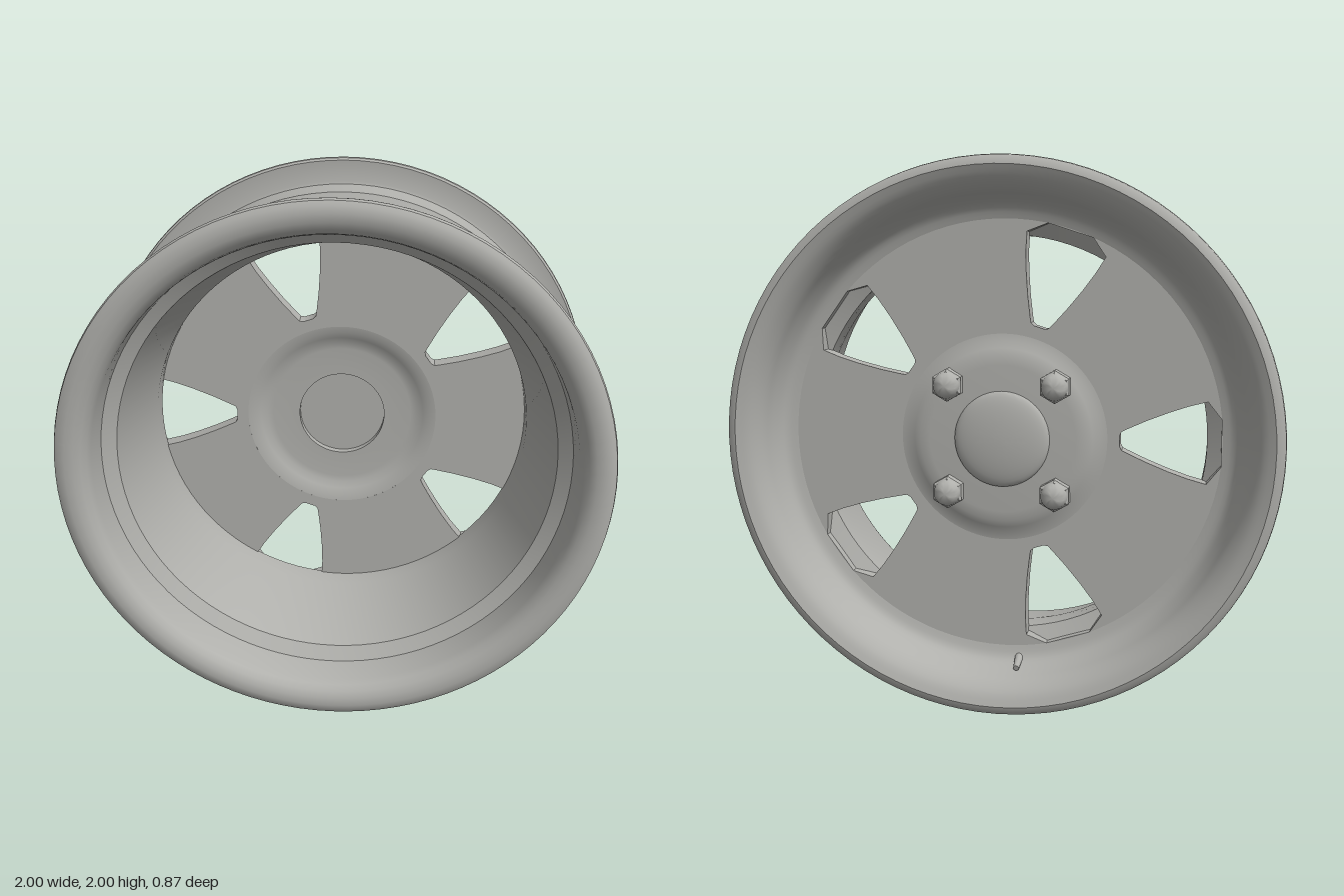
import * as THREE from 'three';
import { toCreasedNormals } from 'three/addons/utils/BufferGeometryUtils.js';

const metal = new THREE.MeshStandardMaterial({ color: 0xb0b0ac });
metal.name = 'grey metal';

// Revolve an (r, z) profile about the z axis, keeping sharp corners sharp
function revolve(name, profile, segments = 96) {
  const pts = profile.map(([r, z]) => new THREE.Vector2(r, z));
  const geo = new THREE.LatheGeometry(pts, segments).rotateX(Math.PI / 2);
  const mesh = new THREE.Mesh(toCreasedNormals(geo, 0.55), metal);
  mesh.name = name;
  return mesh;
}

export function createModel() {
  const wheel = new THREE.Group();
  wheel.name = 'wheelRim';
  wheel.position.y = 1;

  // Concave bowl from the spoke plate out to the outer lip
  const bowl = new THREE.SplineCurve([
    [0.79, -0.26], [0.835, -0.278], [0.865, -0.325], [0.885, -0.375],
    [0.92, -0.415], [0.965, -0.436],
  ].map(([r, z]) => new THREE.Vector2(r, z))).getPoints(18).map(p => [p.x, p.y]);

  // Barrel with both flanges: closed section, outside then inside
  wheel.add(revolve('barrel', [
    ...bowl,
    [0.985, -0.43], [0.997, -0.418], [1, -0.405], [0.998, -0.393], [0.99, -0.385],
    [0.91, -0.385], [0.9, -0.38], [0.89, -0.27],
    [0.755, -0.2], [0.755, -0.11], [0.835, 0.22], [0.89, 0.26], [0.9, 0.38],
    [0.91, 0.385], [0.99, 0.385], [0.998, 0.393], [1, 0.405], [0.995, 0.42],
    [0.98, 0.431], [0.955, 0.437], [0.925, 0.434], [0.9, 0.422], [0.883, 0.402],
    [0.874, 0.375], [0.865, 0.27], [0.815, 0.235], [0.735, -0.11], [0.735, -0.2],
    [0.81, -0.24], [0.79, -0.26],
  ]));

  // Spoke plate with five tapered windows
  const plate = new THREE.Shape();
  plate.absarc(0, 0, 0.8, 0, Math.PI * 2);
  const centre = new THREE.Path();
  centre.absarc(0, 0, 0.38, 0, Math.PI * 2, true);
  plate.holes.push(centre);
  const half = [[0.425, 0.02], [0.432, 0.034], [0.45, 0.043], [0.52, 0.075],
    [0.6, 0.107], [0.67, 0.131], [0.735, 0.148], [0.785, 0.085]];
  const outline = [...half, ...half.map(([x, y]) => [x, -y]).reverse()];
  for (let i = 0; i < 5; i++) {
    const a = Math.PI + (i * Math.PI * 2) / 5;
    const c = Math.cos(a), s = Math.sin(a);
    plate.holes.push(new THREE.Path(
      outline.map(([x, y]) => new THREE.Vector2(x * c - y * s, x * s + y * c))));
  }
  const plateGeo = new THREE.ExtrudeGeometry(plate,
    { depth: 0.07, bevelEnabled: false, curveSegments: 96 }).translate(0, 0, -0.26);
  const spokes = new THREE.Mesh(toCreasedNormals(plateGeo, 0.5), metal);
  spokes.name = 'spokePlate';
  wheel.add(spokes);

  // Hub pressed outward, with a round recess on the inner side
  wheel.add(revolve('hub', [
    [0, -0.29], [0.27, -0.29], [0.305, -0.287], [0.33, -0.277], [0.355, -0.265], [0.381, -0.26],
    [0.381, -0.19], [0.355, -0.194], [0.33, -0.205], [0.305, -0.217], [0.28, -0.22],
    [0.172, -0.22], [0.172, -0.25], [0, -0.25],
  ]));

  // Domed centre cap
  const dome = [];
  for (let i = 0; i <= 10; i++) {
    const a = (i / 10) * Math.PI / 2;
    dome.push([0.175 * Math.sin(a), -0.295 - 0.035 * Math.cos(a)]);
  }
  wheel.add(revolve('centreCap', [...dome, [0.175, -0.28]], 64));

  // Four hexagonal nuts with rounded ends
  for (const x of [-0.197, 0.197]) {
    for (const y of [-0.197, 0.197]) {
      const nut = new THREE.Group();
      nut.name = 'wheelNut';
      nut.add(revolve('nutBody', [[0, -0.335], [0.05, -0.335], [0.06, -0.325], [0.06, -0.28]], 6));
      nut.add(revolve('nutDome', [[0, -0.368], [0.02, -0.365], [0.037, -0.355], [0.047, -0.34],
        [0.05, -0.325]], 24));
      nut.position.set(x, y, 0);
      wheel.add(nut);
    }
  }

  // Tyre valve through the lower bowl
  const from = new THREE.Vector3(-0.06, -0.815, -0.21);
  const to = new THREE.Vector3(-0.06, -0.85, -0.335);
  const valve = new THREE.Mesh(
    new THREE.CylinderGeometry(0.011, 0.02, from.distanceTo(to), 12), metal);
  valve.name = 'valve';
  valve.position.copy(from).add(to).multiplyScalar(0.5);
  valve.quaternion.setFromUnitVectors(new THREE.Vector3(0, 1, 0), to.clone().sub(from).normalize());
  wheel.add(valve);

  return wheel;
}
